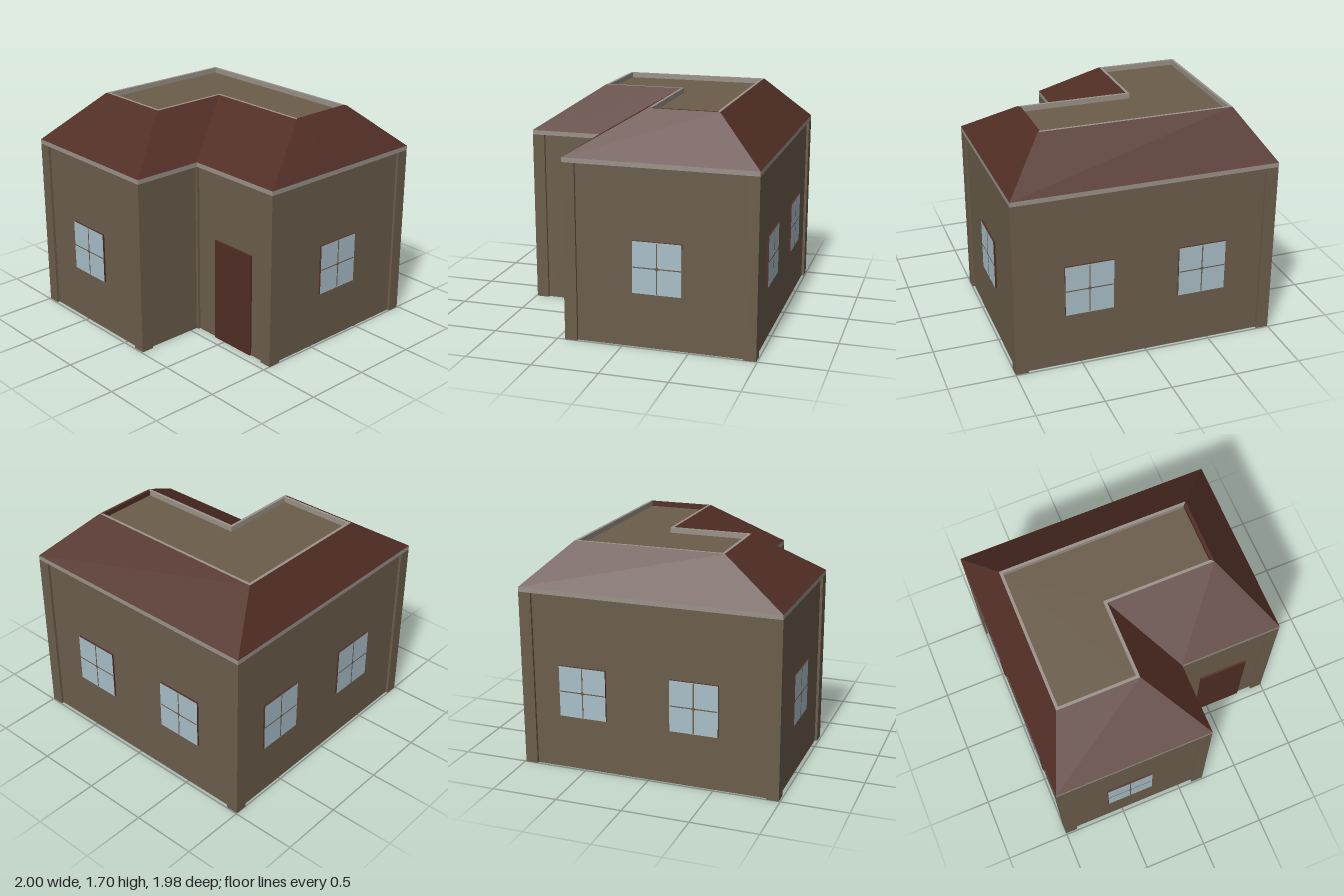
import * as THREE from 'three';

const mat = (name, color) => new THREE.MeshStandardMaterial({ name, color, side: THREE.DoubleSide });

// Plan corners as [x, z], running clockwise from the back
const EAVE = [[-1, -0.993], [1, -0.993], [1, 0.44], [0.21, 0.44], [0.21, 0.99], [-1, 0.99]];
const RIDGE = [[-0.785, -0.632], [0.69, -0.632], [0.69, -0.105], [-0.152, -0.105], [-0.152, 0.505], [-0.785, 0.505]];
const WALL_TOP = 1.34, EAVE_TOP = 1.375, ROOF_TOP = 1.7, DECK = 1.66;
const INSET = 0.02, PILASTER = 0.095;

// Visit each corner with its incoming direction u, outgoing direction v and turn sign
function mapCorners(loop, fn) {
  const n = loop.length;
  const dir = (a, b) => {
    const l = Math.hypot(b[0] - a[0], b[1] - a[1]);
    return [(b[0] - a[0]) / l, (b[1] - a[1]) / l];
  };
  return loop.map((c, i) => {
    const u = dir(loop[(i + n - 1) % n], c), v = dir(c, loop[(i + 1) % n]);
    const at = (a, b) => [c[0] + u[0] * a + v[0] * b, c[1] + u[1] * a + v[1] * b];
    return fn(at, Math.sign(u[0] * v[1] - u[1] * v[0]));
  });
}

const insetLoop = (loop, d) => mapCorners(loop, (at, s) => at(-s * d, s * d));

// Flat-faced strip joining two matching loops; one group per edge
function band(lower, y0, upper, y1) {
  const pos = [], n = lower.length;
  const geo = new THREE.BufferGeometry();
  for (let i = 0; i < n; i++) {
    const j = (i + 1) % n;
    const a = [lower[i][0], y0, lower[i][1]], b = [lower[j][0], y0, lower[j][1]];
    const c = [upper[j][0], y1, upper[j][1]], d = [upper[i][0], y1, upper[i][1]];
    pos.push(...a, ...d, ...b, ...b, ...d, ...c);
    geo.addGroup(i * 6, 6, 0);
  }
  geo.setAttribute('position', new THREE.Float32BufferAttribute(pos, 3));
  geo.computeVertexNormals();
  return geo;
}

export function createModel() {
  const wall = mat('wall tan', 0x6b5d4b);
  const brown = mat('roof brown', 0x512e25);
  const trim = mat('trim grey', 0x9a928a);
  const glass = mat('window blue', 0xa9bfc8);

  const house = new THREE.Group();
  house.name = 'house';
  const add = (name, geo, material, parent = house) => {
    const m = new THREE.Mesh(geo, material);
    m.name = name;
    parent.add(m);
    return m;
  };

  // Walls stepping out to a pilaster at every corner
  const d = INSET, p = PILASTER;
  const wallLoop = mapCorners(EAVE, (at, s) => s > 0
    ? [at(-p, d), at(-p, 0), at(0, 0), at(0, p), at(-d, p)]
    : [at(0, -d), at(0, 0), at(d, 0)]).flat();
  add('walls', band(wallLoop, 0, wallLoop, WALL_TOP), wall);

  // Eave trim
  add('fascia', band(EAVE, WALL_TOP, EAVE, EAVE_TOP), trim);
  add('soffit', band(insetLoop(EAVE, d), WALL_TOP, EAVE, WALL_TOP), trim);

  // Sloping roof around a sunken flat deck
  add('roofSlopes', band(EAVE, EAVE_TOP, RIDGE, ROOF_TOP), brown);
  const inner = insetLoop(RIDGE, 0.022);
  const rimTop = band(RIDGE, ROOF_TOP, inner, ROOF_TOP);
  const rimSide = band(inner, ROOF_TOP, inner, DECK);
  for (const g of [rimTop, rimSide]) g.groups[1].materialIndex = 1; // brown end on the +x side
  add('rimTop', rimTop, [trim, brown]);
  add('rimInside', rimSide, [trim, brown]);
  const deckShape = new THREE.Shape(inner.map(([x, z]) => new THREE.Vector2(x, -z)));
  const deck = add('roofDeck', new THREE.ShapeGeometry(deckShape), wall);
  deck.rotation.x = -Math.PI / 2;
  deck.position.y = DECK;

  // Windows: brown edges, glass on both faces, thin cross bars
  const paneGeo = new THREE.BoxGeometry(0.365, 0.39, 0.03);
  const paneMats = [brown, brown, brown, brown, glass, glass];
  const barV = new THREE.BoxGeometry(0.008, 0.38, 0.033);
  const barH = new THREE.BoxGeometry(0.355, 0.008, 0.033);
  const knob = new THREE.BoxGeometry(0.026, 0.026, 0.033);
  const windows = [
    ['frontWindow', -0.43, 0.97, 0],
    ['rightWindow', 0.98, -0.263, Math.PI / 2],
    ['backWindowA', 0.435, -0.973, Math.PI],
    ['backWindowB', -0.43, -0.973, Math.PI],
    ['leftWindowA', -0.98, -0.51, -Math.PI / 2],
    ['leftWindowB', -0.98, 0.35, -Math.PI / 2],
  ];
  for (const [name, x, z, turn] of windows) {
    const w = new THREE.Group();
    w.name = name;
    w.position.set(x, 0.61, z);
    w.rotation.y = turn;
    add('pane', paneGeo, paneMats, w);
    add('uprightBar', barV, wall, w);
    add('crossBar', barH, wall, w);
    add('barJoint', knob, wall, w).rotation.z = Math.PI / 4;
    house.add(w);
  }

  // Door in the recessed front wall
  const door = add('door', new THREE.BoxGeometry(0.385, 0.81, 0.03), brown);
  door.position.set(0.592, 0.407, 0.42);

  return house;
}
